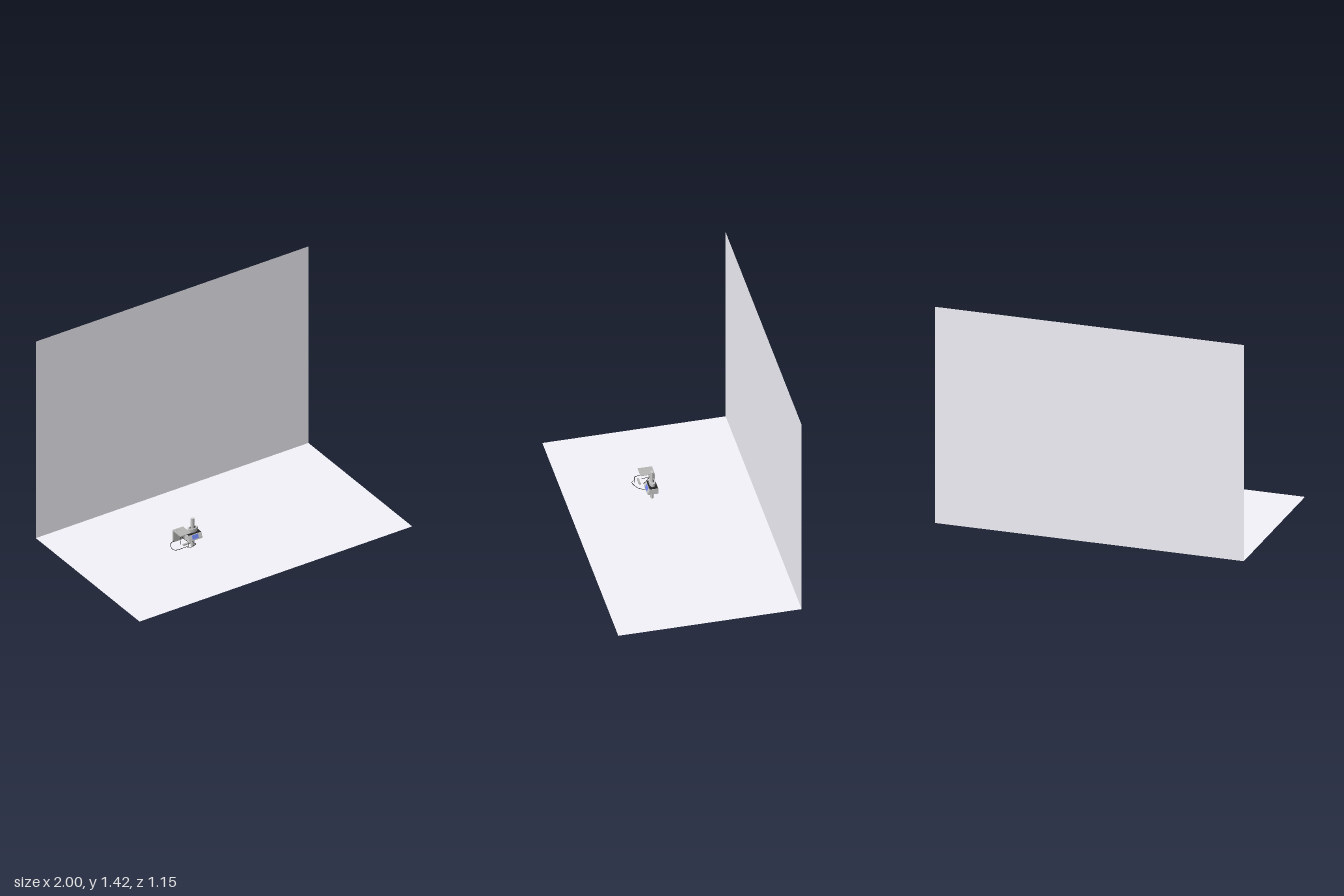
import * as THREE from 'three';

const mat = (color) => new THREE.MeshStandardMaterial({ color, side: THREE.DoubleSide });
const pale = mat(0xf4f4fb), grey = mat(0xcccccc), dull = mat(0xb8b8b6);
const dark = mat(0x222222), white = mat(0xffffff), blue = mat(0x7085f0);

export function createModel() {
  const model = new THREE.Group();

  function add(parent, name, geometry, material, x = 0, y = 0, z = 0) {
    const mesh = new THREE.Mesh(geometry, material);
    mesh.name = name;
    mesh.position.set(x, y, z);
    parent.add(mesh);
    return mesh;
  }
  function group(name) {
    const g = new THREE.Group();
    g.name = name;
    model.add(g);
    return g;
  }
  const box = (w, h, d) => new THREE.BoxGeometry(w, h, d);
  function tube(parent, name, points, radius, material) {
    const curve = new THREE.CatmullRomCurve3(points.map((p) => new THREE.Vector3(...p)));
    return add(parent, name, new THREE.TubeGeometry(curve, 40, radius, 8), material);
  }

  // Backdrop: thin floor and wall sheets
  add(model, 'floor', new THREE.PlaneGeometry(2, 1.155).rotateX(-Math.PI / 2), pale);
  add(model, 'wall', new THREE.PlaneGeometry(2, 1.42), pale, 0, 0.71, -0.5775);

  // Meter housing with a sloping front, extruded along x
  const meter = group('meter');
  const side = new THREE.Shape([
    [0.032, 0.09], [0.1, 0.09], [0.097, 0.102], [0.087, 0.128], [0.032, 0.128],
  ].map(([z, y]) => new THREE.Vector2(z, y)));
  const housing = new THREE.ExtrudeGeometry(side, { depth: 0.097, bevelEnabled: false });
  add(meter, 'housing', housing.rotateY(-Math.PI / 2), grey, -0.223, 0, 0);
  add(meter, 'blackTop', box(0.09, 0.003, 0.053), dark, -0.272, 0.129, 0.06);
  const screen = add(meter, 'screen', box(0.044, 0.027, 0.002), blue, -0.272, 0.111, 0.0938);
  screen.rotation.x = -0.367;

  // Oval collar: smooth white wall, flat white rim, dark liner
  const oval = (geometry) => geometry.scale(1, 1, 0.55);
  const wall = new THREE.LatheGeometry([
    [0.03, 0.131], [0.034, 0.135], [0.036, 0.141], [0.036, 0.16],
  ].map(([r, y]) => new THREE.Vector2(r, y)), 40);
  add(meter, 'collarWall', oval(wall), white, -0.271, 0, 0.061);
  const rim = new THREE.RingGeometry(0.022, 0.036, 40).rotateX(-Math.PI / 2);
  add(meter, 'collarRim', oval(rim), white, -0.271, 0.16, 0.061);
  const liner = new THREE.CylinderGeometry(0.022, 0.022, 0.029, 40, 1, true);
  add(meter, 'collarLiner', oval(liner), dark, -0.271, 0.1455, 0.061);
  const rod = new THREE.CylinderGeometry(0.0135, 0.0135, 0.196, 32);
  add(meter, 'rod', rod.scale(1, 1, 0.7), grey, -0.272, 0.129, 0.062);

  // Bracket: upright back plate with a thin shelf on top
  const bracket = group('bracket');
  add(bracket, 'backPlate', box(0.078, 0.08, 0.015), dull, -0.361, 0.13, 0.039);
  add(bracket, 'shelf', box(0.078, 0.003, 0.09), dull, -0.361, 0.168, 0.076);

  // Small clamp standing in front of the back plate
  const clamp = group('clamp');
  add(clamp, 'clampRing', new THREE.TorusGeometry(0.011, 0.003, 8, 24), white, -0.357, 0.144, 0.055);
  add(clamp, 'clampStem', new THREE.CylinderGeometry(0.003, 0.003, 0.03, 10), dull, -0.357, 0.118, 0.055);
  for (const s of [-1, 1]) {
    tube(clamp, 'clampLeg', [[-0.357, 0.125, 0.055], [-0.357 + s * 0.012, 0.112, 0.075],
      [-0.357 + s * 0.026, 0.098, 0.1]], 0.0015, dark);
  }
  add(clamp, 'pin', box(0.056, 0.008, 0.012), dull, -0.354, 0.104, 0.124);
  add(clamp, 'frontPin', new THREE.CylinderGeometry(0.0018, 0.0018, 0.026, 10), dark, -0.357, 0.112, 0.15);

  // Loose cables
  const cables = group('cables');
  tube(cables, 'leftCable', [[-0.398, 0.1, 0.048], [-0.425, 0.092, 0.053], [-0.438, 0.082, 0.075],
    [-0.44, 0.08, 0.105], [-0.425, 0.088, 0.132], [-0.39, 0.097, 0.143], [-0.357, 0.1, 0.148]], 0.0016, dark);
  tube(cables, 'rightCable', [[-0.372, 0.101, 0.155], [-0.355, 0.102, 0.168], [-0.325, 0.1, 0.16],
    [-0.3, 0.095, 0.142], [-0.296, 0.085, 0.115], [-0.29, 0.083, 0.09], [-0.285, 0.09, 0.075]], 0.0016, dark);

  return model;
}
